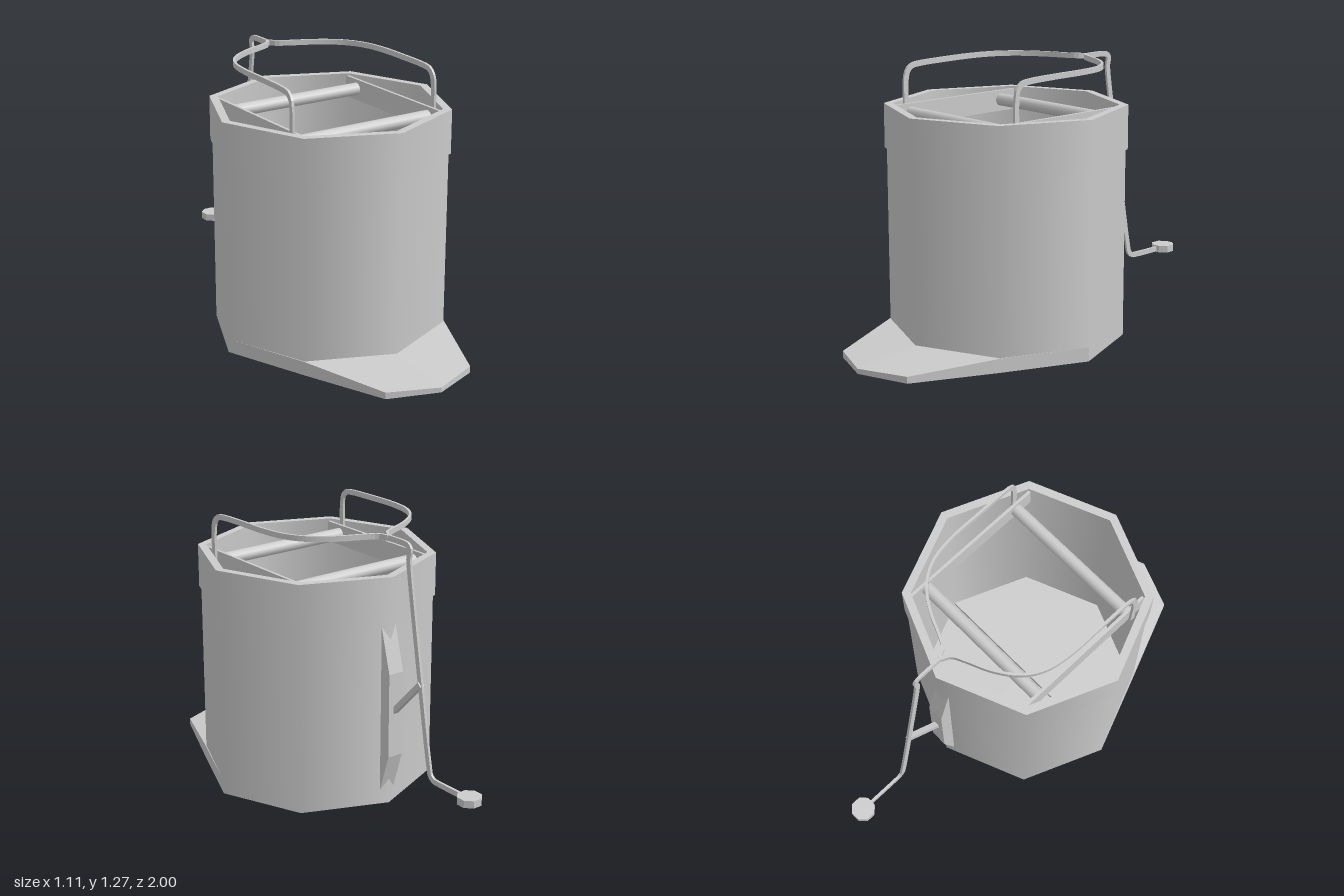
import * as THREE from 'three';
import { ConvexGeometry } from 'three/addons/geometries/ConvexGeometry.js';

const CZ = 0.135; // z of the bucket's axis
const V = (x, y, z) => new THREE.Vector3(x, y, z);

export function createModel() {
  const model = new THREE.Group();
  const smooth = new THREE.MeshStandardMaterial({ color: 0xcccccc });
  const flat = new THREE.MeshStandardMaterial({ color: 0xcccccc, flatShading: true });

  function add(name, geometry, material = flat, parent = model) {
    const mesh = new THREE.Mesh(geometry, material);
    mesh.name = name;
    parent.add(mesh);
    return mesh;
  }

  // Flat bar swept along a path; its thickness always lies horizontally
  function bar(points, height, thickness, steps) {
    const curve = new THREE.CatmullRomCurve3(points, false, 'centripetal');
    const pos = [], index = [];
    for (let i = 0; i <= steps; i++) {
      const p = curve.getPointAt(i / steps), t = curve.getTangentAt(i / steps);
      const side = Math.hypot(t.x, t.z) < 0.05 ? V(1, 0, 0) : V(-t.z, 0, t.x).normalize();
      if (side.x < 0) side.negate();
      const up = t.clone().cross(side).normalize();
      for (const [a, b] of [[1, -1], [1, 1], [-1, 1], [-1, -1]]) {
        const c = p.clone().addScaledVector(side, a * thickness / 2).addScaledVector(up, b * height / 2);
        pos.push(c.x, c.y, c.z);
      }
      if (i === steps) break;
      for (let k = 0; k < 4; k++) {
        const a = i * 4 + k, b = i * 4 + (k + 1) % 4;
        index.push(a, b, b + 4, a, b + 4, a + 4);
      }
    }
    const e = steps * 4;
    index.push(0, 2, 1, 0, 3, 2, e, e + 1, e + 2, e, e + 2, e + 3);
    const g = new THREE.BufferGeometry();
    g.setAttribute('position', new THREE.Float32BufferAttribute(pos, 3));
    g.setIndex(index);
    g.computeVertexNormals();
    return g;
  }

  // Eight-sided bucket: one band per profile segment keeps the rims sharp
  const bucket = new THREE.Group();
  bucket.name = 'bucket';
  bucket.position.z = CZ;
  model.add(bucket);
  const profile = [[0, 0], [0.545, 0], [0.545, 0.885], [0.555, 0.885], [0.555, 1.09],
    [0.515, 1.09], [0.515, 0.04], [0, 0.04]].map(([r, y]) => new THREE.Vector2(r, y));
  const bands = ['base', 'outerWall', 'collarUnderside', 'collar', 'rimTop', 'innerWall', 'floor'];
  bands.forEach((name, i) =>
    add(name, new THREE.LatheGeometry([profile[i], profile[i + 1]], 8), smooth, bucket));

  // Foot lip at the front
  const lip = [V(0, 0.065, 0.68), V(0, 0, 0.68), V(0, 0.033, 1), V(0, 0.01, 1)];
  for (const s of [-1, 1]) {
    lip.push(V(s * 0.545, 0.065, CZ), V(s * 0.545, 0, CZ), V(s * 0.39, 0.065, 0.52),
      V(s * 0.39, 0, 0.52), V(s * 0.23, 0.035, 0.91), V(s * 0.23, 0.004, 0.91));
  }
  add('footLip', new ConvexGeometry(lip));

  // Wringer: two side plates and two rollers
  for (const s of [-1, 1]) {
    add(s > 0 ? 'leftPlate' : 'rightPlate', new THREE.BoxGeometry(0.014, 0.1, 0.74))
      .position.set(s * 0.357, 1.03, 0.125);
  }
  for (const [name, z] of [['frontRoller', 0.405], ['backRoller', -0.147]]) {
    const roller = add(name, new THREE.CylinderGeometry(0.03, 0.03, 0.7, 12), smooth);
    roller.rotation.z = Math.PI / 2;
    roller.position.set(0, 1.035, z);
  }

  // Handle arms rise at the front and meet behind the bucket
  for (const s of [-1, 1]) {
    const path = [[0.375, 1.0, 0.412], [0.375, 1.19, 0.412], [0.374, 1.225, 0.403], [0.373, 1.248, 0.38],
      [0.372, 1.255, 0.34], [0.371, 1.26, 0.2], [0.368, 1.262, 0.02], [0.345, 1.262, -0.1],
      [0.29, 1.262, -0.19], [0.19, 1.262, -0.265], [0.08, 1.262, -0.315], [0.025, 1.262, -0.345],
      [0.004, 1.26, -0.385]];
    add(s > 0 ? 'leftHandleArm' : 'rightHandleArm',
      bar(path.map(([x, y, z]) => V(s * x, y, z)), 0.025, 0.012, 60));
  }

  // Lever running down from the handle to the pedal
  const lever = [[1.26, -0.37], [1.26, -0.49], [1.256, -0.515], [1.24, -0.528], [1.2, -0.523], [1.165, -0.526],
    [0.7, -0.605], [0.28, -0.682], [0.24, -0.693], [0.223, -0.715], [0.22, -0.75], [0.22, -0.9]];
  add('lever', bar(lever.map(([y, z]) => V(0, y, z)), 0.025, 0.012, 110));
  const pedal = add('pedal', new THREE.CylinderGeometry(0.057, 0.057, 0.034, 8));
  pedal.position.set(0, 0.222, -0.945);
  pedal.rotation.y = Math.PI / 8;

  // Back bracket and the strut carrying the lever
  const outline = new THREE.Shape([[0.385, 0.04], [0.45, 0.25], [0.45, 0.65], [0.385, 0.89]]
    .map(([u, y]) => new THREE.Vector2(u, y)));
  const bracket = new THREE.ExtrudeGeometry(outline, { depth: 0.08, bevelEnabled: false });
  bracket.rotateY(Math.PI / 2).translate(-0.04, 0, 0);
  add('backBracket', bracket);
  add('leverStrut', bar([V(0, 0.465, -0.44), V(0, 0.65, -0.617)], 0.025, 0.025, 1));

  return model;
}
